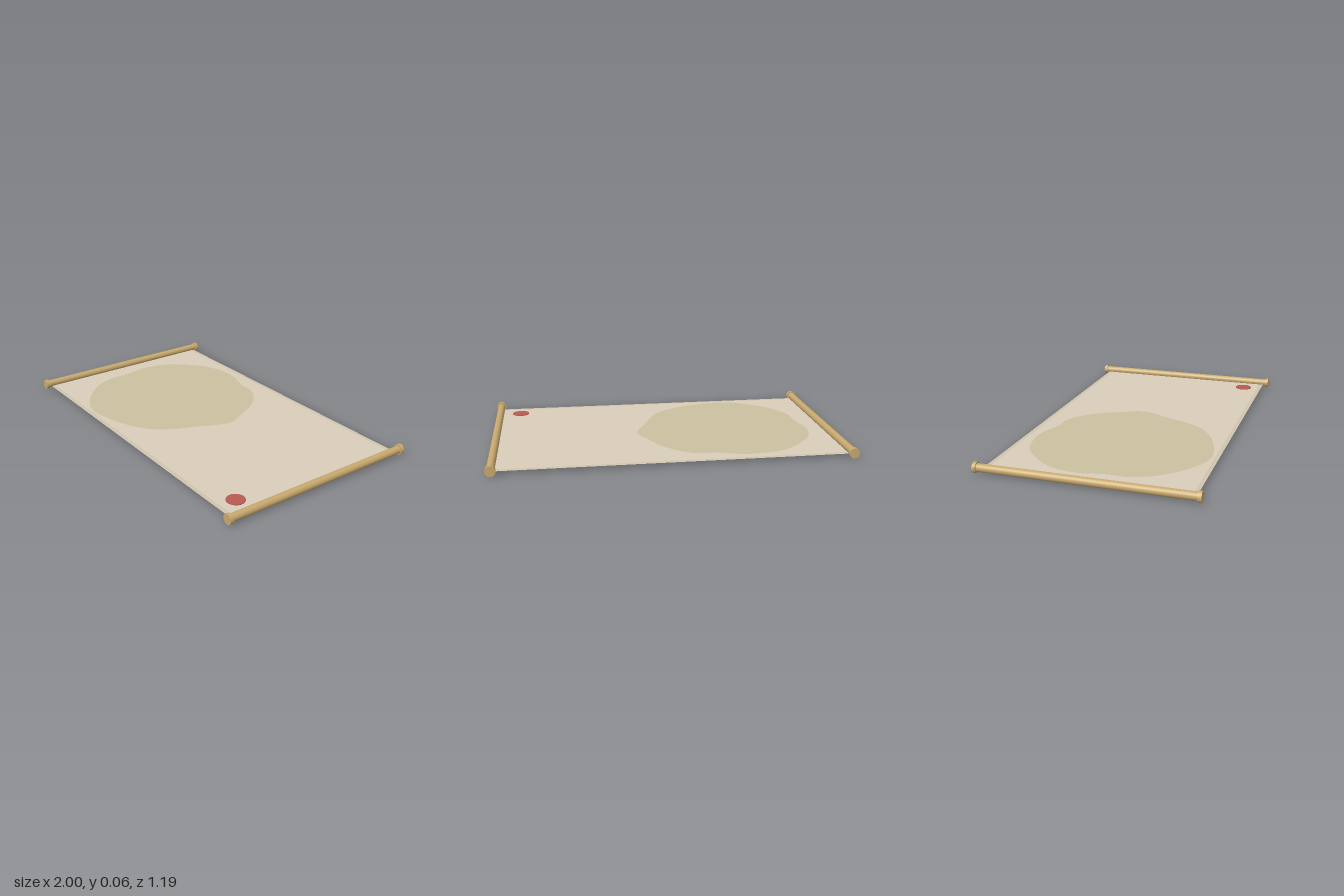
import * as THREE from 'three';

const paint = (color, side = THREE.FrontSide) => new THREE.MeshStandardMaterial({ color, side });
const WOOD = paint(0xc8a96e);
const PAPER = paint(0xd8ceba, THREE.DoubleSide);
const TRIM = paint(0xd0c5ae, THREE.DoubleSide);
const LAND = paint(0xcbc0a0, THREE.DoubleSide);
const SEAL = paint(0xb85a52);

const SHEET_Y = 0.018;
const ROD_X = 0.971;
const ROD_Y = 0.03;

function add(parent, name, geometry, material, x = 0, y = 0, z = 0) {
  const mesh = new THREE.Mesh(geometry, material);
  mesh.name = name;
  mesh.position.set(x, y, z);
  parent.add(mesh);
  return mesh;
}

// Turns a geometry drawn in the XY plane to lie flat, facing up
const flat = (geometry) => geometry.rotateX(-Math.PI / 2);

// Wooden roller along z with a wider cap at each end
function createRoller(name) {
  const roller = new THREE.Group();
  roller.name = name;
  add(roller, 'rod', new THREE.CylinderGeometry(0.022, 0.022, 1.15, 32).rotateX(Math.PI / 2), WOOD);
  for (const s of [-1, 1]) {
    add(roller, 'endCap', new THREE.CylinderGeometry(0.029, 0.029, 0.02, 32).rotateX(Math.PI / 2), WOOD, 0, 0, s * 0.584);
  }
  return roller;
}

// Wavy coastline, as x and z offsets from the middle of the land
const COAST = [
  [0.525, -0.05], [0.465, 0.11], [0.375, 0.31], [0.335, 0.36], [0.19, 0.455],
  [-0.095, 0.52], [-0.24, 0.465], [-0.385, 0.34], [-0.46, 0.2], [-0.465, 0.06],
  [-0.49, -0.075], [-0.455, -0.245], [-0.35, -0.375], [-0.265, -0.445], [-0.16, -0.48],
  [-0.025, -0.49], [0.135, -0.445], [0.23, -0.44], [0.305, -0.405], [0.405, -0.305], [0.47, -0.18],
];

function createLand() {
  const land = new THREE.Group();
  land.name = 'mapDrawing';
  const curve = new THREE.CatmullRomCurve3(COAST.map(([x, z]) => new THREE.Vector3(x, -z, 0)), true);
  const outline = new THREE.Shape(curve.getPoints(126).slice(0, -1).map((p) => new THREE.Vector2(p.x, p.y)));
  add(land, 'landmass', flat(new THREE.ShapeGeometry(outline)), LAND, 0, 0.001, 0);
  // Concentric contours, each a hair above the last
  [0.285, 0.147, 0.11, 0.073, 0.036].forEach((r, i) => {
    add(land, 'contour', flat(new THREE.CircleGeometry(r, 64)), LAND, 0, 0.0015 + i * 0.0005, 0);
  });
  return land;
}

export function createModel() {
  const model = new THREE.Group();
  model.name = 'scroll';

  // Paper sheet and its long border strips
  add(model, 'sheet', flat(new THREE.PlaneGeometry(2 * ROD_X, 1.12)), PAPER, 0, SHEET_Y, 0);
  for (const s of [-1, 1]) {
    add(model, 'border', flat(new THREE.PlaneGeometry(1.89, 0.02)), TRIM, 0, SHEET_Y + 0.001, s * 0.547);
  }

  // Rollers at both ends
  for (const [name, s] of [['leftRoller', 1], ['rightRoller', -1]]) {
    const roller = createRoller(name);
    roller.position.set(s * ROD_X, ROD_Y, 0);
    model.add(roller);
  }

  // Map drawing on the right half
  const land = createLand();
  land.position.set(-0.37, SHEET_Y, 0);
  model.add(land);

  // Wax seal in the front left corner
  add(model, 'waxSeal', new THREE.CylinderGeometry(0.05, 0.05, 0.004, 32), SEAL, 0.845, SHEET_Y + 0.003, 0.445);

  // Rest the caps on the ground
  model.position.y = 0.029 - ROD_Y;
  return model;
}
